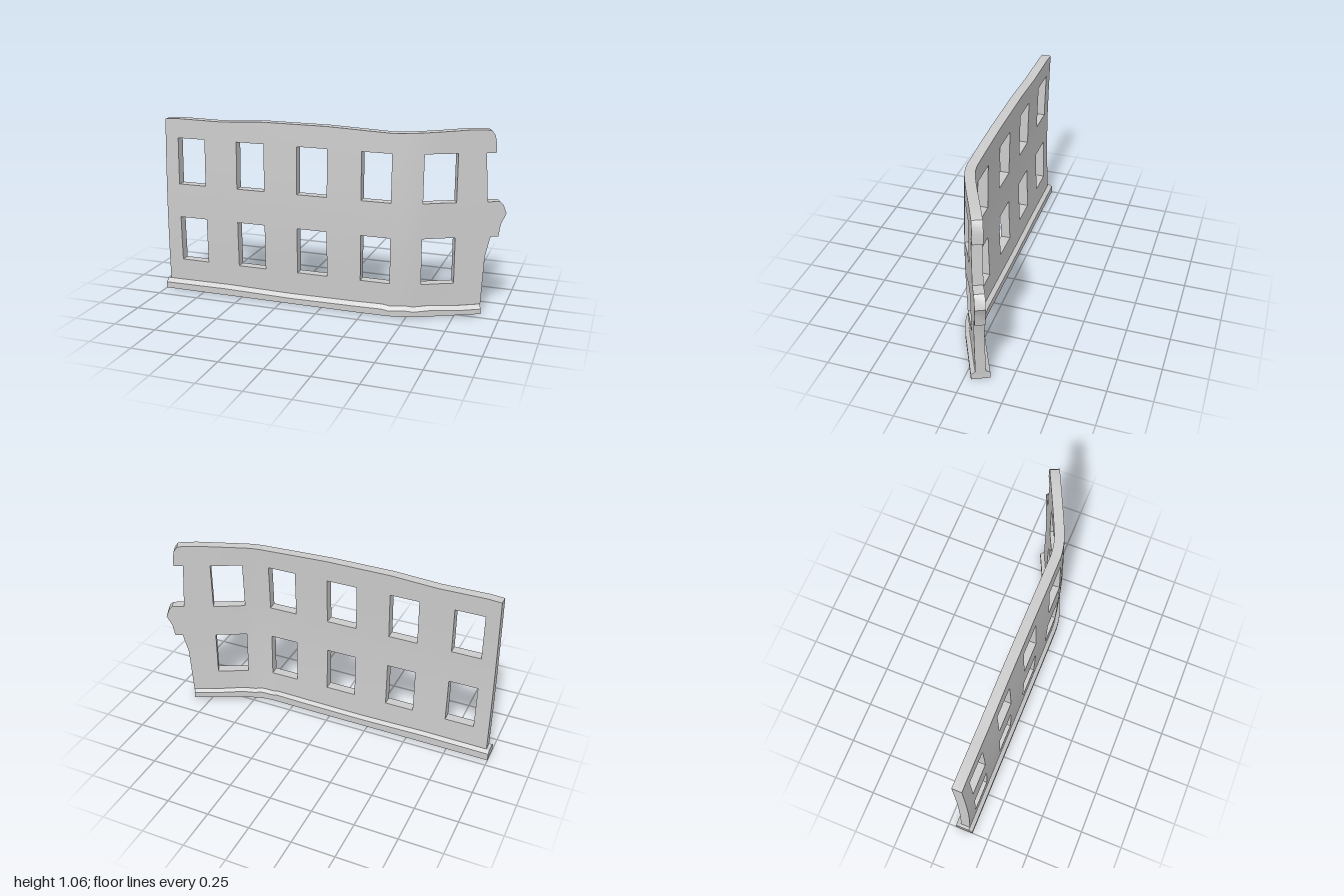
import * as THREE from 'three';
import { toCreasedNormals } from 'three/addons/utils/BufferGeometryUtils.js';

const material = new THREE.MeshStandardMaterial({ color: 0xcccccc, side: THREE.DoubleSide });

// Linear interpolation through [input, output] pairs.
function lerpPairs(pairs, v) {
  if (v <= pairs[0][0]) return pairs[0][1];
  for (let k = 1; k < pairs.length; k++) {
    const [a, p] = pairs[k - 1], [b, q] = pairs[k];
    if (v <= b) return p + (q - p) * (v - a) / (b - a);
  }
  return pairs[pairs.length - 1][1];
}

// Plan curve: straight on the right, bending backwards near the left end.
// Returns the point at offset d from the centre line, along its normal.
function bend(x, y, d) {
  const w = 0.26, slope = -0.47;
  const t = THREE.MathUtils.clamp((x - 0.34) / w, 0, 1);
  const z = 0.098 + slope * (w * (t ** 3 - t ** 4 / 2) + Math.max(0, x - 0.6));
  const m = slope * t * t * (3 - 2 * t);
  const len = Math.hypot(1, m);
  return [x - m / len * d, y, z + d / len];
}

function buildMesh(name, quads) {
  const pos = [];
  for (const [a, b, c, d] of quads) pos.push(...a, ...b, ...c, ...a, ...c, ...d);
  const geo = new THREE.BufferGeometry();
  geo.setAttribute('position', new THREE.Float32BufferAttribute(pos, 3));
  const mesh = new THREE.Mesh(toCreasedNormals(geo, 0.5), material);
  mesh.name = name;
  return mesh;
}

// Wall panel: a grid of cells with windows and a broken edge left out.
function createWall() {
  const windows = [[-0.89, -0.72], [-0.52, -0.35], [-0.15, 0.03], [0.23, 0.4], [0.56, 0.727]];
  const windowRows = [[0.19, 0.458], [0.66, 0.935]];
  const cols = [-0.97, -0.89, -0.72, -0.62, -0.52, -0.35, -0.25, -0.15, 0.03, 0.13, 0.23, 0.4,
    0.44, 0.48, 0.52, 0.56, 0.64, 0.727, 0.79, 'edge', 'tip'];
  const rows = [0.04, 0.19, 0.34, 0.458, 0.53, 0.59, 0.64, 0.66, 0.8, 0.935, 0.99, 1.03, 1.06];
  const edge = [[0.04, 0.87], [0.34, 0.883], [0.458, 0.908], [0.66, 0.885], [0.935, 0.868], [1.06, 0.865]];
  const tip = [[0.458, 0.948], [0.53, 0.958], [0.59, 0.984], [0.64, 0.967], [0.66, 0.948],
    [0.935, 0.918], [0.99, 0.916], [1.03, 0.908], [1.06, 0.89]];
  const topLine = [[-0.97, 1.042], [-0.89, 1.048], [-0.62, 1.045], [-0.35, 1.06], [0.03, 1.06],
    [0.4, 1.046], [0.6, 1.053], [0.82, 1.065], [0.87, 1.062], [0.92, 1.05]];

  const point = (i, j, side) => {
    let y = rows[j], x = cols[i];
    if (x === 'edge') x = lerpPairs(edge, y);
    else if (x === 'tip') x = lerpPairs(tip, y);
    else if (i === 0) x -= 0.012 * (1 - y);
    if (j === rows.length - 1) y = lerpPairs(topLine, x);
    const p = bend(x, y, side * 0.028);
    p[2] += 0.012 * Math.sin(Math.PI * y) * (x < 0.6 ? 1 : 0.3);
    return p;
  };

  const solid = (i, j) => {
    if (i < 0 || j < 0 || i >= cols.length - 1 || j >= rows.length - 1) return false;
    const y = (rows[j] + rows[j + 1]) / 2;
    if (i === cols.length - 2) return (y > 0.458 && y < 0.66) || y > 0.935;
    const x = (cols[i] + (i === cols.length - 3 ? 0.87 : cols[i + 1])) / 2;
    const within = (list, v) => list.some(([a, b]) => v > a && v < b);
    return !(within(windows, x) && within(windowRows, y));
  };

  const quads = [];
  for (let i = 0; i < cols.length - 1; i++) {
    for (let j = 0; j < rows.length - 1; j++) {
      if (!solid(i, j)) continue;
      const corners = [[i, j], [i + 1, j], [i + 1, j + 1], [i, j + 1]];
      const neighbours = [[i, j - 1], [i + 1, j], [i, j + 1], [i - 1, j]];
      const front = corners.map(([a, b]) => point(a, b, 1));
      const back = corners.map(([a, b]) => point(a, b, -1));
      quads.push(front, [...back].reverse());
      // Jambs, sills and outer edges
      neighbours.forEach(([a, b], k) => {
        const n = (k + 1) % 4;
        if (!solid(a, b)) quads.push([back[k], back[n], front[n], front[k]]);
      });
    }
  }
  return buildMesh('wallPanel', quads);
}

// Plinth: a hollow skirting section swept along the same bend.
function createPlinth() {
  const profile = [[0.053, 0], [0.053, 0.036], [0.03, 0.058], [-0.03, 0.058], [-0.052, 0.045], [-0.052, 0]];
  const stations = [-1, -0.6, -0.2, 0.2, 0.36, 0.4, 0.44, 0.48, 0.52, 0.56, 0.6, 0.74, 0.868];
  const rings = stations.map((x, i) => profile.map(([d, y]) =>
    bend(x, y ? y + 0.004 * Math.sin(i * 2.1) : 0.01 * Math.max(0, x - 0.2), d)));
  const quads = [];
  for (let i = 0; i < rings.length - 1; i++) {
    for (let k = 0; k < profile.length - 1; k++) {
      quads.push([rings[i][k], rings[i + 1][k], rings[i + 1][k + 1], rings[i][k + 1]]);
    }
  }
  // End caps
  const a = rings[0], b = rings[rings.length - 1];
  quads.push([a[0], a[1], a[4], a[5]], [a[1], a[2], a[3], a[4]]);
  quads.push([b[5], b[4], b[1], b[0]], [b[4], b[3], b[2], b[1]]);
  return buildMesh('plinth', quads);
}

export function createModel() {
  const group = new THREE.Group();
  group.name = 'ruinedWall';
  group.add(createWall(), createPlinth());
  return group;
}
